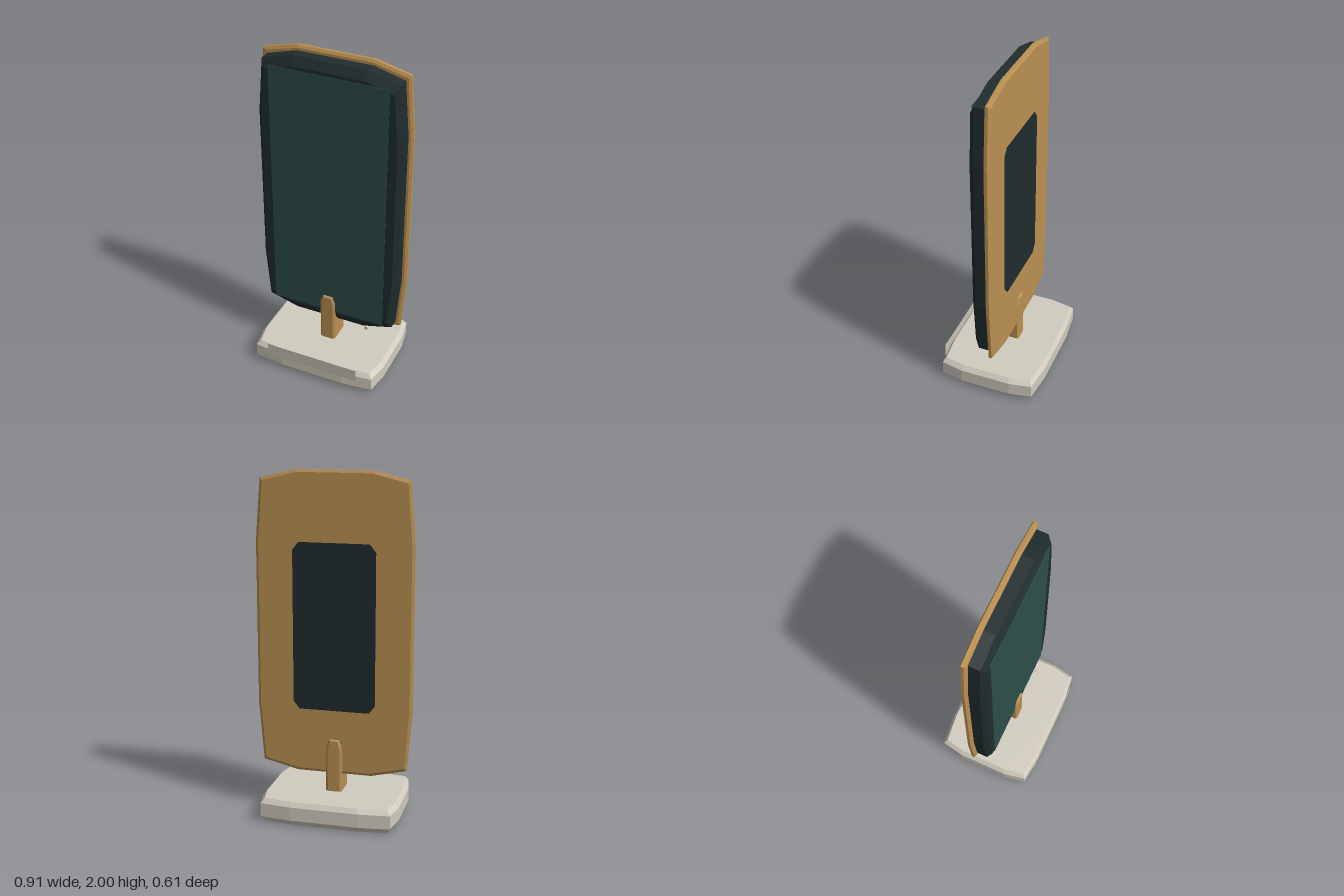
import * as THREE from 'three';

const mat = (name, color, side = THREE.FrontSide) => {
  const m = new THREE.MeshStandardMaterial({ color, side });
  m.name = name;
  m.flatShading = true;
  return m;
};

// Mirror a quarter outline (listed from the top centre outwards) into a full counter-clockwise loop
function fourWay(quarter) {
  const right = [...quarter.map(([x, y]) => [x, -y]), ...[...quarter].reverse()];
  return [...right, ...[...right].reverse().map(([x, y]) => [-x, y])];
}

// Convex slab: the outline is repeated at each [z, insetX, insetY] layer and capped at both ends
function slab(outline, layers) {
  const hx = Math.max(...outline.map(p => Math.abs(p[0])));
  const hy = Math.max(...outline.map(p => Math.abs(p[1])));
  const rings = layers.map(([z, ix, iy]) =>
    outline.map(([x, y]) => [x * (1 - ix / hx), y * (1 - iy / hy), z]));
  const pos = [];
  const n = outline.length;
  const tri = (a, b, c) => pos.push(...a, ...b, ...c);
  for (let k = 0; k < rings.length - 1; k++) {
    for (let i = 0; i < n; i++) {
      const j = (i + 1) % n;
      tri(rings[k][i], rings[k][j], rings[k + 1][j]);
      tri(rings[k][i], rings[k + 1][j], rings[k + 1][i]);
    }
  }
  const back = rings[0], front = rings[rings.length - 1];
  for (let i = 1; i < n - 1; i++) {
    tri(back[0], back[i + 1], back[i]);
    tri(front[0], front[i], front[i + 1]);
  }
  const geo = new THREE.BufferGeometry();
  geo.setAttribute('position', new THREE.Float32BufferAttribute(pos, 3));
  geo.computeVertexNormals();
  return geo;
}

export function createModel() {
  const group = new THREE.Group();
  const brass = mat('brass', 0xbb9152);
  const dark = mat('dark casing', 0x202c2d);
  const glass = mat('green glass', 0x2c4e4a);
  const stone = mat('pale stone', 0xd2ccc0);
  const label = mat('pale plate', 0xc8c4b4, THREE.DoubleSide);

  const add = (name, geo, material, x, y, z) => {
    const mesh = new THREE.Mesh(geo, material);
    mesh.name = name;
    mesh.position.set(x, y, z);
    group.add(mesh);
    return mesh;
  };
  const midY = 1.125;

  // Base, bevelled above and below
  const baseGeo = slab(fourWay([[0.2, 0.305], [0.38, 0.285], [0.405, 0.152]]),
    [[0, 0.022, 0.02], [0.032, 0, 0], [0.112, 0, 0], [0.14, 0.022, 0.018]]);
  baseGeo.rotateX(-Math.PI / 2);
  add('base', baseGeo, stone, 0, 0, -0.015);

  // Thin plate standing on the front of the base
  add('basePlate', new THREE.PlaneGeometry(0.58, 0.08), label, 0, 0.125, 0.293);

  // Post with tapered top, running through the casing
  add('post', slab(
    [[-0.047, -0.16], [0.047, -0.16], [0.047, 0.12], [0.03, 0.17], [-0.03, 0.17], [-0.047, 0.12]],
    [[-0.088, 0.012, 0.008], [-0.078, 0, 0], [0.054, 0, 0], [0.062, 0.012, 0.008]]),
  brass, 0, 0.285, 0);

  // Backing frame
  add('frame', slab(fourWay([[0.22, 0.875], [0.427, 0.825], [0.455, 0.475]]),
    [[-0.078, 0.015, 0.015], [-0.07, 0, 0], [-0.053, 0, 0], [-0.045, 0.015, 0.015]]),
  brass, 0, midY, 0);

  // Casing with bevelled front
  add('casing', slab(fourWay([[0.22, 0.845], [0.4, 0.795], [0.427, 0.475]]),
    [[-0.046, 0, 0], [0.02, 0, 0], [0.048, 0.025, 0.05]]),
  dark, 0, midY, 0);

  // Glass pane
  add('screen', new THREE.BoxGeometry(0.7, 1.55, 0.004), glass, 0, midY, 0.049);

  // Inset panel on the back with cut corners
  add('backPanel', slab(fourWay([[0.205, 0.485], [0.24, 0.44]]),
    [[-0.081, 0, 0], [-0.077, 0, 0]]), dark, 0, midY - 0.01, 0);

  // Small knob
  const knobGeo = new THREE.CylinderGeometry(0.012, 0.012, 0.014, 8);
  knobGeo.rotateX(Math.PI / 2);
  add('knob', knobGeo, stone, 0.256, 0.306, 0.058);

  return group;
}
